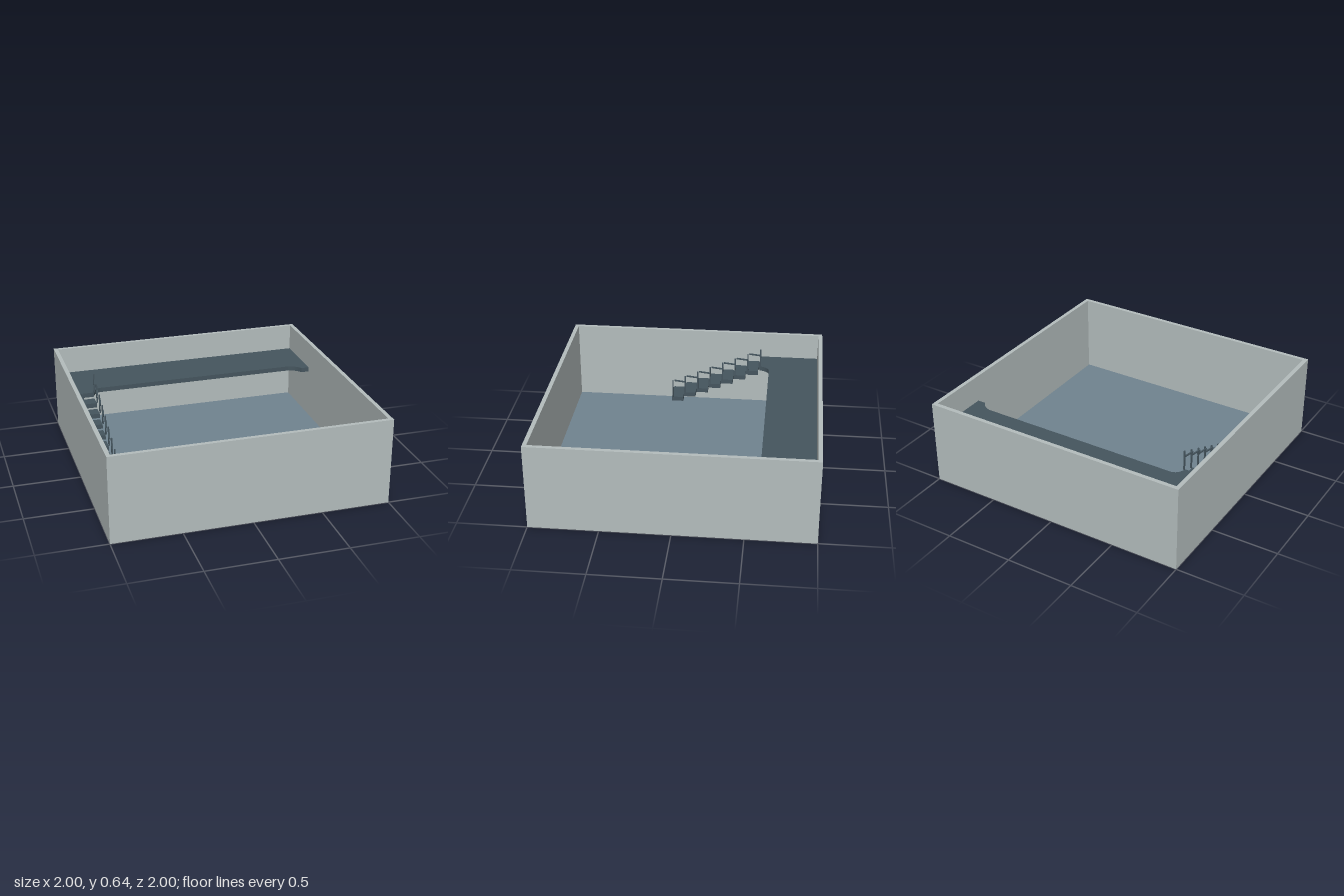
import * as THREE from 'three';

const wallMat = new THREE.MeshStandardMaterial({ color: 0xb4bdbd });
const floorMat = new THREE.MeshStandardMaterial({ color: 0x70838f });
const darkMat = new THREE.MeshStandardMaterial({ color: 0x45555e });

const HEIGHT = 0.64, INNER = 0.97, FLOOR = 0.037;
const DECK = 0.438, SLAB = 0.035;
const STEPS = 7, RUN = 0.1, RISE = 0.044;

function addBox(parent, name, mat, size, pos) {
  const mesh = new THREE.Mesh(new THREE.BoxGeometry(...size), mat);
  mesh.name = name;
  mesh.position.set(...pos);
  parent.add(mesh);
  return mesh;
}

// Extrude a plan drawn as (x, -z) upwards from y
function addPlan(parent, name, mat, shape, y, depth) {
  const geo = new THREE.ExtrudeGeometry(shape, { depth, bevelEnabled: false, curveSegments: 8 });
  geo.rotateX(-Math.PI / 2);
  const mesh = new THREE.Mesh(geo, mat);
  mesh.name = name;
  mesh.position.y = y;
  parent.add(mesh);
}

function square(Type, r) {
  const s = new Type();
  s.moveTo(-r, -r);
  s.lineTo(r, -r);
  s.lineTo(r, r);
  s.lineTo(-r, r);
  s.closePath();
  return s;
}

// Thin square bar between two points
function addBar(parent, name, a, b, t) {
  const from = new THREE.Vector3(...a), to = new THREE.Vector3(...b);
  const bar = addBox(parent, name, darkMat, [t, t, from.distanceTo(to)], [0, 0, 0]);
  bar.position.copy(from).lerp(to, 0.5);
  bar.lookAt(to);
}

export function createModel() {
  const room = new THREE.Group();
  room.name = 'room';

  // Four walls as one open frame
  const frame = square(THREE.Shape, 1);
  frame.holes.push(square(THREE.Path, INNER));
  addPlan(room, 'walls', wallMat, frame, 0, HEIGHT);

  // Floor slab
  addBox(room, 'floor', floorMat, [2 * INNER, FLOOR, 2 * INNER], [0, FLOOR / 2, 0]);

  // Balcony along the back wall, with rounded inside corners
  const deck = new THREE.Shape();
  deck.moveTo(-INNER, INNER);
  deck.lineTo(-INNER, 0.515);
  deck.lineTo(-0.785, 0.515);
  deck.bezierCurveTo(-0.775, 0.56, -0.75, 0.59, -0.71, 0.59);
  deck.lineTo(0.82, 0.59);
  deck.quadraticCurveTo(0.875, 0.58, 0.91, 0.525);
  deck.lineTo(INNER, 0.525);
  deck.lineTo(INNER, INNER);
  deck.closePath();
  addPlan(room, 'balcony', darkMat, deck, DECK - SLAB, SLAB);

  // Open staircase down the wall, from the balcony towards the front
  const stairs = new THREE.Group();
  stairs.name = 'staircase';
  room.add(stairs);
  for (let i = 1; i <= STEPS; i++) {
    const top = DECK - RISE * i;
    const front = -0.51 + RUN * i;
    addBox(stairs, 'tread', darkMat, [0.185, SLAB, 0.092], [-0.8775, top - SLAB / 2, front - 0.046]);
    // Bracket joining the tread to the one above
    addBox(stairs, 'treadBracket', darkMat, [0.016, RISE + 0.02, 0.016],
      [-0.875, top + RISE / 2 - 0.015, front - RUN]);
  }

  // Posts and short stepped rails on the open side
  for (let i = 0; i <= STEPS; i++) {
    const top = DECK - RISE * i;
    const z = -0.52 + RUN * i;
    addBox(stairs, 'railPost', darkMat, [0.01, 0.15, 0.01], [-0.78, top + 0.075, z]);
    if (i < STEPS) {
      addBar(stairs, 'handrail', [-0.775, top + 0.1, z], [-0.795, top + 0.1, z + RUN * 0.9], 0.01);
    }
  }
  return room;
}
